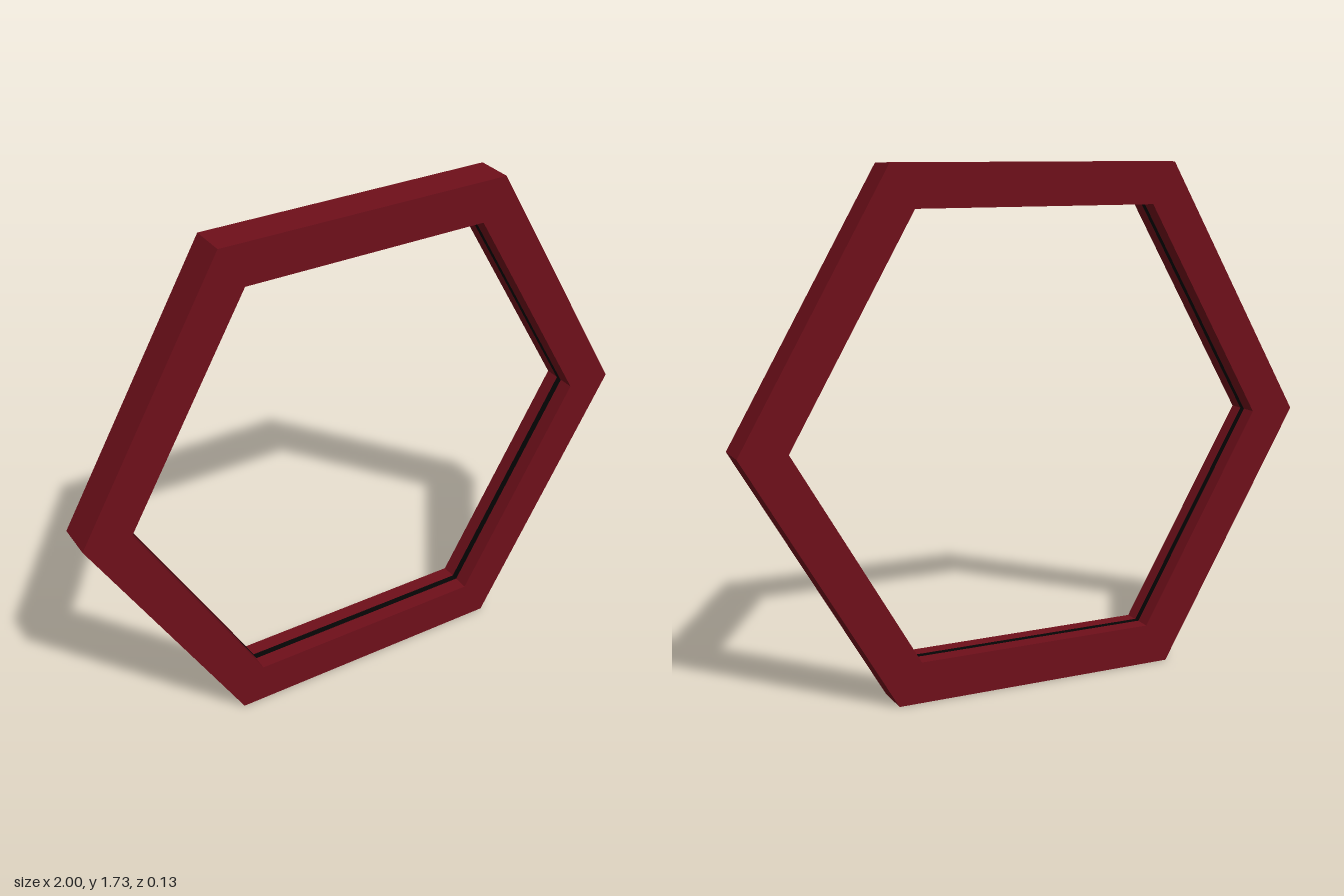
import * as THREE from 'three';

const OUTER = 1, INNER = 0.84, DEPTH = 0.128;
const CENTRE_Y = OUTER * Math.sqrt(3) / 2;

// Corners of a hexagon with points at left and right
function hexagon(radius) {
  const points = [];
  for (let i = 0; i < 6; i++) {
    const a = i * Math.PI / 3;
    points.push(new THREE.Vector2(radius * Math.cos(a), radius * Math.sin(a)));
  }
  return points;
}

export function createModel() {
  const model = new THREE.Group();
  model.name = 'hexagonalFrame';

  // Mitred frame: hexagon with a hexagonal opening
  const shape = new THREE.Shape(hexagon(OUTER));
  shape.holes.push(new THREE.Path(hexagon(INNER).reverse()));
  const frameGeometry = new THREE.ExtrudeGeometry(shape, { depth: DEPTH, bevelEnabled: false });
  frameGeometry.translate(0, CENTRE_Y, -DEPTH / 2);
  const frame = new THREE.Mesh(frameGeometry, new THREE.MeshStandardMaterial({ color: 0x6e0f1a }));
  frame.name = 'frame';
  model.add(frame);

  // Thin black strip running round the middle of the inner faces
  const r = INNER - 0.002;
  const stripGeometry = new THREE.CylinderGeometry(r, r, 0.022, 6, 1, true, Math.PI / 2);
  stripGeometry.rotateX(Math.PI / 2);
  stripGeometry.translate(0, CENTRE_Y, 0);
  const strip = new THREE.Mesh(stripGeometry, new THREE.MeshStandardMaterial({
    color: 0x050505, flatShading: true, side: THREE.DoubleSide,
  }));
  strip.name = 'innerStrip';
  model.add(strip);

  return model;
}
